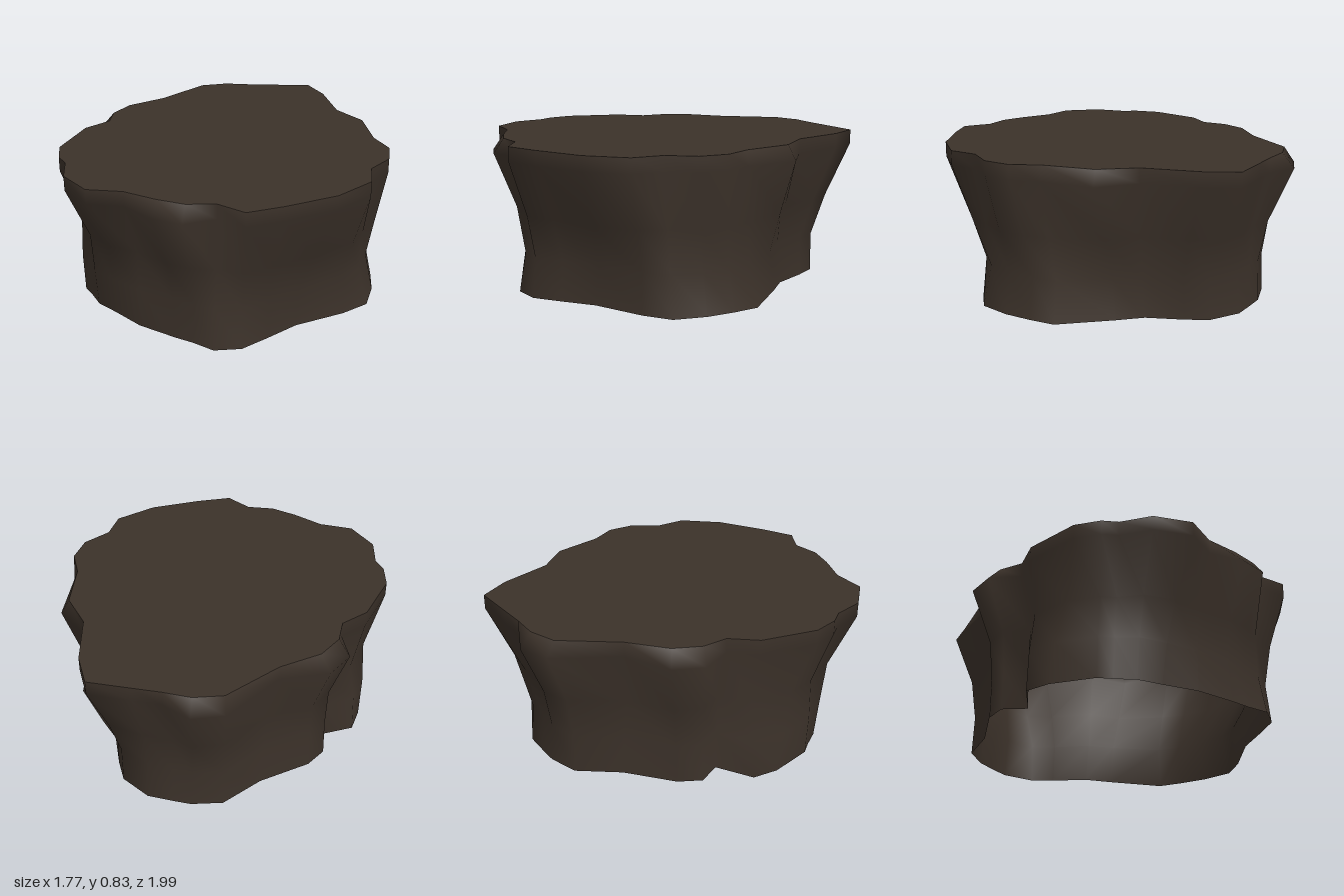
import * as THREE from 'three';

// Rim outline, clockwise from the back: [x, z, bulge scale below the rim]
const RIM = [
  [-0.05, -0.94, 1], [0.10, -0.96, 1], [0.33, -0.99, 1], [0.44, -0.83, 1],
  [0.55, -0.54, 1], [0.71, -0.385, 1.06], [0.79, -0.11, 1.03], [0.88, 0.03, 1],
  [0.885, 0.19, 1], [0.80, 0.34, 1], [0.81, 0.51, 1], [0.66, 0.71, 1],
  [0.42, 0.88, 1], [0.25, 0.98, 1], [0.10, 0.91, 1], [-0.05, 0.94, 1.06],
  [-0.20, 0.91, 1.06], [-0.38, 0.85, 1], [-0.57, 0.86, 1], [-0.73, 0.72, 1],
  [-0.78, 0.55, 1], [-0.84, 0.48, 1], [-0.885, 0.34, 1], [-0.84, 0.03, 1],
  [-0.74, -0.11, 1], [-0.755, -0.25, 1.09], [-0.70, -0.40, 1.09], [-0.53, -0.57, 1],
  [-0.345, -0.865, 1.06], [-0.20, -0.93, 1.07],
];

// Foot outline, one [x, z] under each rim point
const FOOT = [
  [-0.05, -0.855], [0.09, -0.865], [0.265, -0.79], [0.34, -0.68], [0.44, -0.50],
  [0.56, -0.40], [0.80, -0.18], [0.825, -0.04], [0.84, 0.12], [0.82, 0.30],
  [0.70, 0.42], [0.46, 0.59], [0.33, 0.74], [0.215, 0.865], [0.075, 0.905],
  [-0.04, 0.855], [-0.15, 0.82], [-0.36, 0.74], [-0.525, 0.63], [-0.64, 0.56],
  [-0.71, 0.47], [-0.765, 0.41], [-0.835, 0.175], [-0.83, 0.03], [-0.65, -0.10],
  [-0.72, -0.22], [-0.665, -0.345], [-0.45, -0.56], [-0.31, -0.78], [-0.15, -0.845],
];
const N = RIM.length;
const HEIGHTS = [0, 0.22, 0.45, 0.75, 0.83];

// Blend two [x, z] points, then scale the result about the axis
const blend = (a, b, t, s) => [0, 1].map((k) => (a[k] + (b[k] - a[k]) * t) * s);

function build(positions, index) {
  const g = new THREE.BufferGeometry();
  g.setAttribute('position', new THREE.Float32BufferAttribute(positions, 3));
  g.setIndex(index);
  g.computeVertexNormals();
  return g;
}

export function createModel() {
  const group = new THREE.Group();
  group.name = 'rock';
  const stone = new THREE.MeshStandardMaterial({ color: 0x3c322a, side: THREE.DoubleSide });
  stone.name = 'dark brown stone';

  // Rugged wall, pinched at the waist and open underneath
  const columns = RIM.map(([x, z, bulge], i) => {
    const rim = [x, z], shoulder = [x * bulge, z * bulge];
    const waist = blend(FOOT[i], rim, 0.2, 0.96 - 0.03 * x);
    const chest = blend(waist, shoulder, 0.45, 0.97 + 0.03 * x);
    return [FOOT[i], waist, chest, shoulder, rim];
  });
  const wall = [], wallIndex = [];
  HEIGHTS.forEach((y, r) => {
    columns.forEach((column, i) => {
      wall.push(column[r][0], y, column[r][1]);
      if (r < HEIGHTS.length - 1) {
        const a = r * N + i, b = r * N + (i + 1) % N;
        wallIndex.push(a, a + N, b + N, a, b + N, b);
      }
    });
  });
  const wallMesh = new THREE.Mesh(build(wall, wallIndex), stone);
  wallMesh.name = 'wall';

  // Flat top as a fan around the centre
  const top = [0, 0.83, 0], topIndex = [];
  RIM.forEach(([x, z], i) => {
    top.push(x, 0.83, z);
    topIndex.push(0, 1 + (i + 1) % N, 1 + i);
  });
  const topMesh = new THREE.Mesh(build(top, topIndex), stone);
  topMesh.name = 'flatTop';

  group.add(wallMesh, topMesh);
  return group;
}
